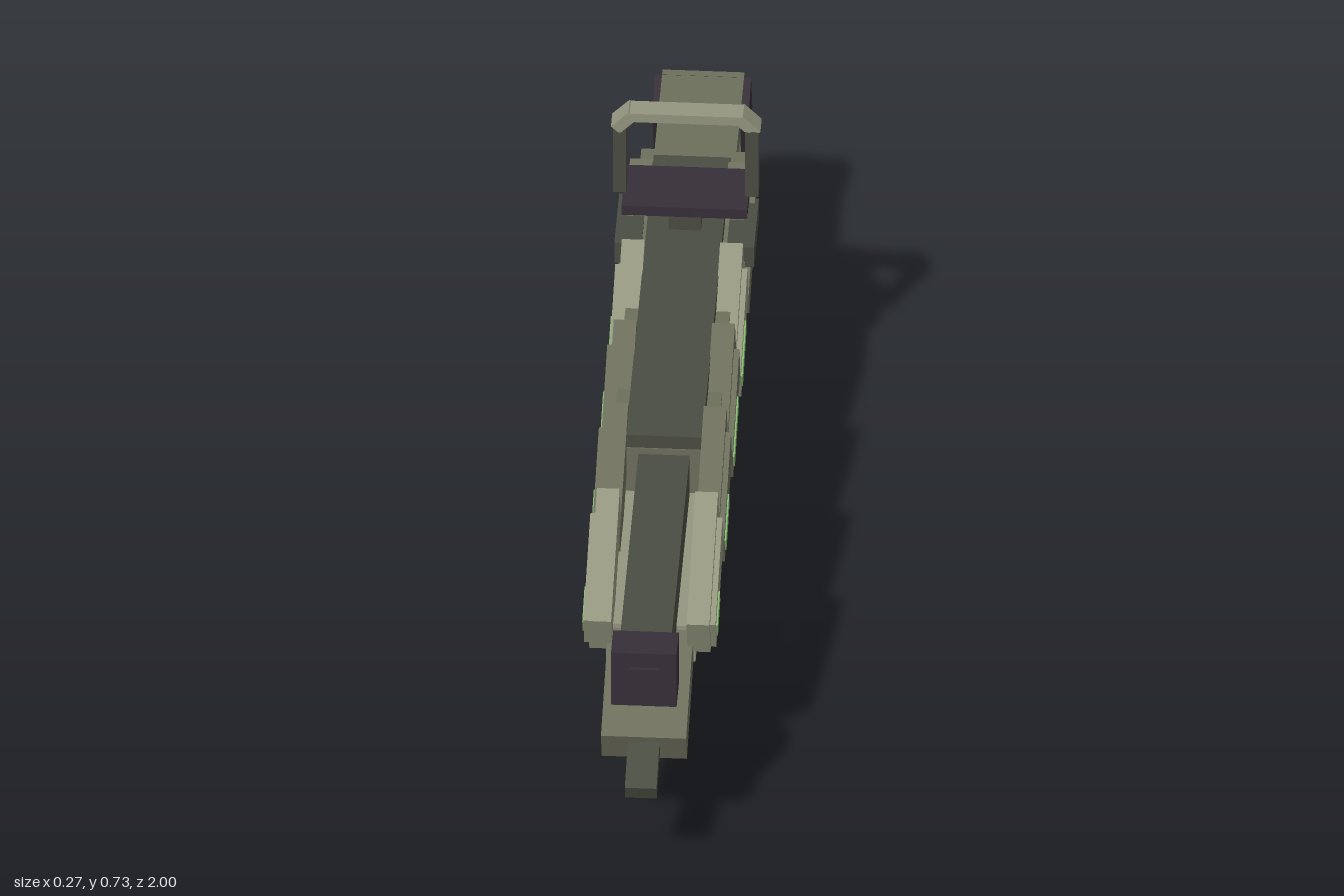
import * as THREE from 'three';

const mat = (name, color) => {
  const m = new THREE.MeshStandardMaterial({ color });
  m.name = name;
  return m;
};

export function createModel() {
  const model = new THREE.Group();
  model.name = 'rifle';
  const pale = mat('paleOlive', 0x94967f);
  const olive = mat('olive', 0x6d6f5c);
  const dark = mat('darkGreen', 0x4a4d42);
  const purple = mat('darkPurple', 0x372f38);
  const green = mat('glowGreen', 0x82b46e);

  // box from width, height, depth, centre and tilt about x
  const box = (name, m, [w, h, d], [x, y, z], tilt = 0, parent = model) => {
    const mesh = new THREE.Mesh(new THREE.BoxGeometry(w, h, d), m);
    mesh.name = name;
    mesh.position.set(x, y, z);
    mesh.rotation.x = tilt;
    parent.add(mesh);
    return mesh;
  };
  // upright box given by its y and z ranges, centred on x
  const span = (name, m, w, y0, y1, z0, z1) =>
    box(name, m, [w, y1 - y0, z1 - z0], [0, (y0 + y1) / 2, (z0 + z1) / 2]);

  // body
  span('receiver', olive, 0.192, 0.275, 0.468, -0.625, 0.285);
  span('topRail', dark, 0.14, 0.44, 0.496, -0.57, 0.283);
  span('handguard', pale, 0.164, 0.29, 0.37, 0.28, 0.69);
  box('nose', olive, [0.156, 0.068, 0.26], [0, 0.292, 0.776], 0.36);
  box('noseTip', dark, [0.058, 0.033, 0.16], [0, 0.241, 0.918], 0.36);

  // barrel
  span('barrel', dark, 0.094, 0.362, 0.455, 0.25, 0.84);
  span('muzzle', purple, 0.12, 0.345, 0.464, 0.835, 0.903);
  span('muzzleInset', purple, 0.054, 0.375, 0.432, 0.89, 0.909);

  // stock
  span('stock', pale, 0.144, 0.242, 0.39, -0.87, -0.48);
  span('stockTop', olive, 0.15, 0.385, 0.428, -0.92, -0.6);
  box('buttPad', purple, [0.176, 0.253, 0.09], [0, 0.294, -0.91], 0.385);

  // magazine, trigger guard and grip
  span('magazine', dark, 0.154, 0.09, 0.3, -0.137, 0.065);
  span('magazineBase', purple, 0.16, 0.061, 0.098, -0.142, 0.07);
  span('triggerGuard', dark, 0.06, 0.167, 0.198, -0.3, -0.13);
  box('grip', purple, [0.12, 0.32, 0.183], [0, 0.188, -0.361], -0.386);
  span('gripFoot', dark, 0.134, 0.022, 0.068, -0.492, -0.31);

  // sight
  span('sightMount', dark, 0.06, 0.48, 0.535, -0.465, -0.345);
  span('sightBase', purple, 0.23, 0.533, 0.554, -0.46, -0.335);
  span('sightTop', pale, 0.206, 0.715, 0.734, -0.416, -0.376);

  // overlapping armour scales: z, y, height, colour, light length
  const scales = [
    [0.6, 0.428, 0.094, pale, 0.075],
    [0.34, 0.428, 0.094, olive, 0.1],
    [0.085, 0.428, 0.09, olive, 0.13],
    [-0.16, 0.428, 0.09, pale, 0.12],
    [-0.41, 0.428, 0.08, olive, 0],
  ];
  for (const s of [1, -1]) {
    const side = s > 0 ? 'left' : 'right';
    box(side + 'SightPost', dark, [0.024, 0.148, 0.04], [s * 0.121, 0.628, -0.396]);
    const corner = box(side + 'SightCorner', pale, [0.046, 0.022, 0.04], [s * 0.113, 0.712, -0.396]);
    corner.rotation.z = -s * 0.8;
    box(side + 'Bolt', dark, [0.05, 0.045, 0.15], [s * 0.103, 0.45, -0.405]);

    scales.forEach(([z, y, h, m, light], i) => {
      const scale = new THREE.Group();
      scale.name = `${side}Scale${i + 1}`;
      scale.position.set(s * 0.09, y, z);
      scale.rotation.x = 0.38;
      model.add(scale);
      box('scalePlate', m, [0.042, h, 0.285], [0, 0, 0], 0, scale);
      box('scaleCover', m, [0.012, h - 0.018, 0.23], [s * 0.025, -0.01, 0.015], 0, scale);
      if (light) box('scaleLight', green, [0.006, 0.032, light], [s * 0.031, -0.008, 0.12 - light / 2], 0, scale);
    });

    // light slits along the receiver
    for (const z of [0.182, 0.013, -0.222, -0.49])
      box(side + 'Slit', green, [0.004, 0.008, 0.065], [s * 0.096, 0.338, z]);
  }
  return model;
}
